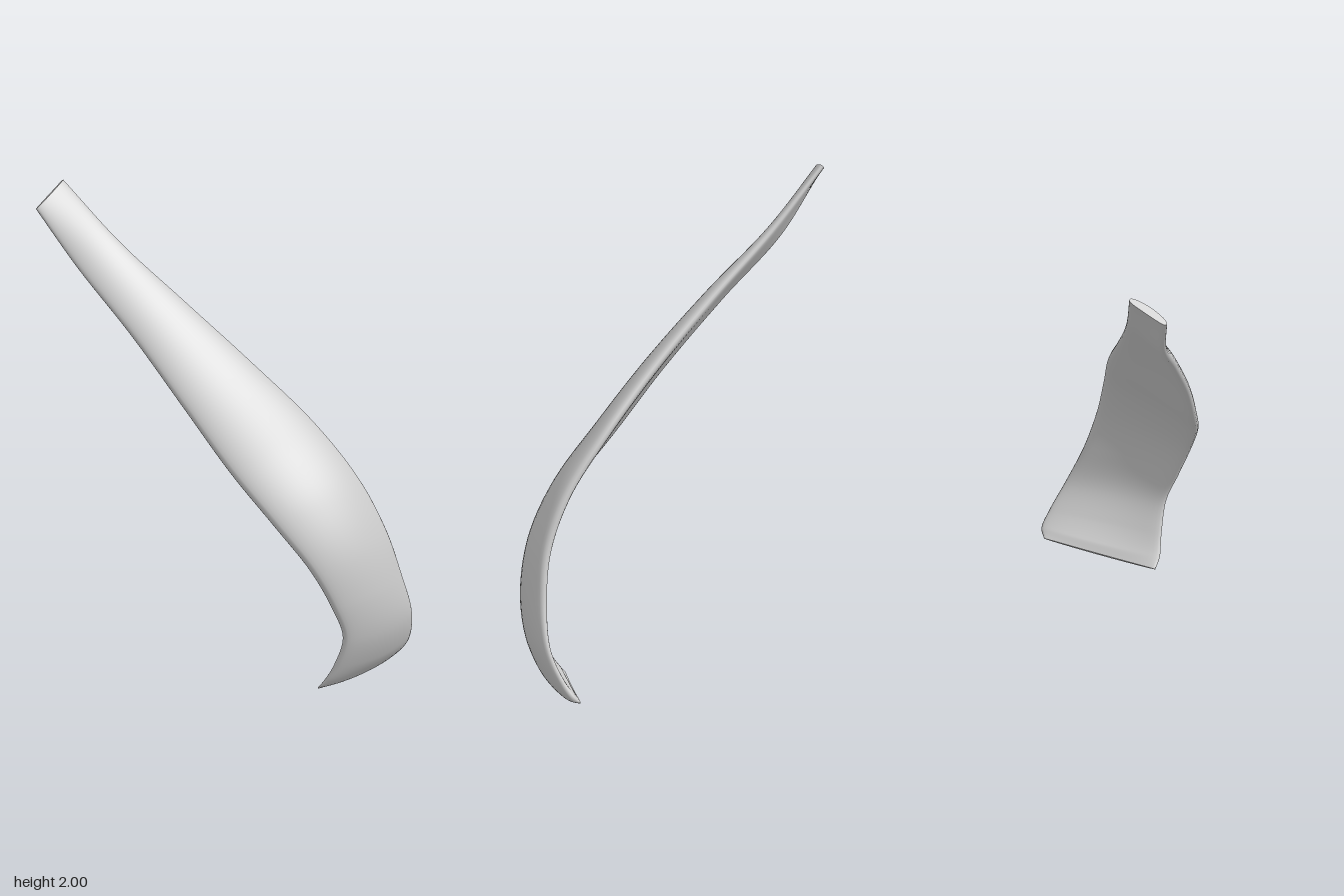
import * as THREE from 'three';
import { mergeGeometries } from 'three/addons/utils/BufferGeometryUtils.js';

const curve = pts => new THREE.CatmullRomCurve3(pts.map(p => new THREE.Vector3(...p)));

// The two long edges of the strap, paired station by station from top to foot
const frontEdge = curve([
  [-0.665, 1.92, 0.44], [-0.5, 1.69, 0.385], [-0.25, 1.445, 0.357], [0, 1.175, 0.333],
  [0.2, 0.94, 0.298], [0.388, 0.735, 0.25], [0.512, 0.56, 0.184], [0.572, 0.39, 0.115],
  [0.585, 0.25, 0.06], [0.538, 0.12, 0.055], [0.49, 0.04, 0.062], [0.452, 0.006, 0.055],
]);
const backEdge = curve([
  [-0.65, 2.0, 0.28], [-0.42, 1.76, 0.205], [-0.17, 1.54, 0.117], [0.09, 1.3, 0.01],
  [0.32, 1.06, -0.1], [0.49, 0.835, -0.17], [0.578, 0.625, -0.227], [0.605, 0.43, -0.29],
  [0.602, 0.255, -0.365], [0.558, 0.135, -0.42], [0.517, 0.072, -0.44], [0.485, 0.045, -0.42],
]);
// Per station: outward bow of the section, and its thickness
const section = curve([
  [0.005, 0.032, 0], [0.01, 0.046, 0], [0.015, 0.06, 0], [0.02, 0.07, 0],
  [0.026, 0.076, 0], [0.032, 0.078, 0], [0.035, 0.074, 0], [0.036, 0.068, 0],
  [0.031, 0.056, 0], [0.026, 0.06, 0], [0.014, 0.054, 0], [0.008, 0.018, 0],
]);

const ROWS = 110, SIDES = 40;

// Ring of points: a bowed, blunt-edged lens spanning the two edges
function ring(t) {
  const mid = s => frontEdge.getPoint(s).add(backEdge.getPoint(s)).multiplyScalar(0.5);
  const tangent = mid(Math.min(1, t + 0.01)).sub(mid(Math.max(0, t - 0.01)));
  const half = backEdge.getPoint(t).sub(frontEdge.getPoint(t)).multiplyScalar(0.5);
  const outward = tangent.cross(half).normalize();
  const { x: bow, y: thick } = section.getPoint(t);
  const centre = mid(t);
  return Array.from({ length: SIDES }, (_, j) => {
    const a = (j / SIDES) * Math.PI * 2, u = Math.cos(a), s = Math.sin(a);
    const lift = bow * (1 - u * u) + 0.5 * thick * Math.sign(s) * Math.abs(s) ** 0.7;
    return centre.clone().addScaledVector(half, u).addScaledVector(outward, lift);
  });
}

function toGeometry(points, index) {
  const g = new THREE.BufferGeometry().setFromPoints(points);
  g.setIndex(index);
  g.computeVertexNormals();
  return g;
}

// Flat end closing a ring
function cap(points, flip) {
  const centre = new THREE.Vector3();
  points.forEach(p => centre.addScaledVector(p, 1 / SIDES));
  const index = [];
  for (let j = 0; j < SIDES; j++) {
    const k = (j + 1) % SIDES;
    index.push(SIDES, flip ? k : j, flip ? j : k);
  }
  return toGeometry([...points, centre], index);
}

export function createModel() {
  const rings = Array.from({ length: ROWS + 1 }, (_, i) => ring(i / ROWS));
  const index = [];
  for (let i = 0; i < ROWS; i++) {
    for (let j = 0; j < SIDES; j++) {
      const k = (j + 1) % SIDES;
      const a = i * SIDES + j, b = i * SIDES + k;
      index.push(a, b, a + SIDES, b, b + SIDES, a + SIDES);
    }
  }
  const geometry = mergeGeometries([
    toGeometry(rings.flat(), index),
    cap(rings[0], true),
    cap(rings[ROWS], false),
  ]);

  const strap = new THREE.Mesh(geometry, new THREE.MeshStandardMaterial({ color: 0xcccccc }));
  strap.name = 'curvedMuscleStrap';
  const group = new THREE.Group();
  group.name = 'muscle';
  group.add(strap);
  return group;
}
